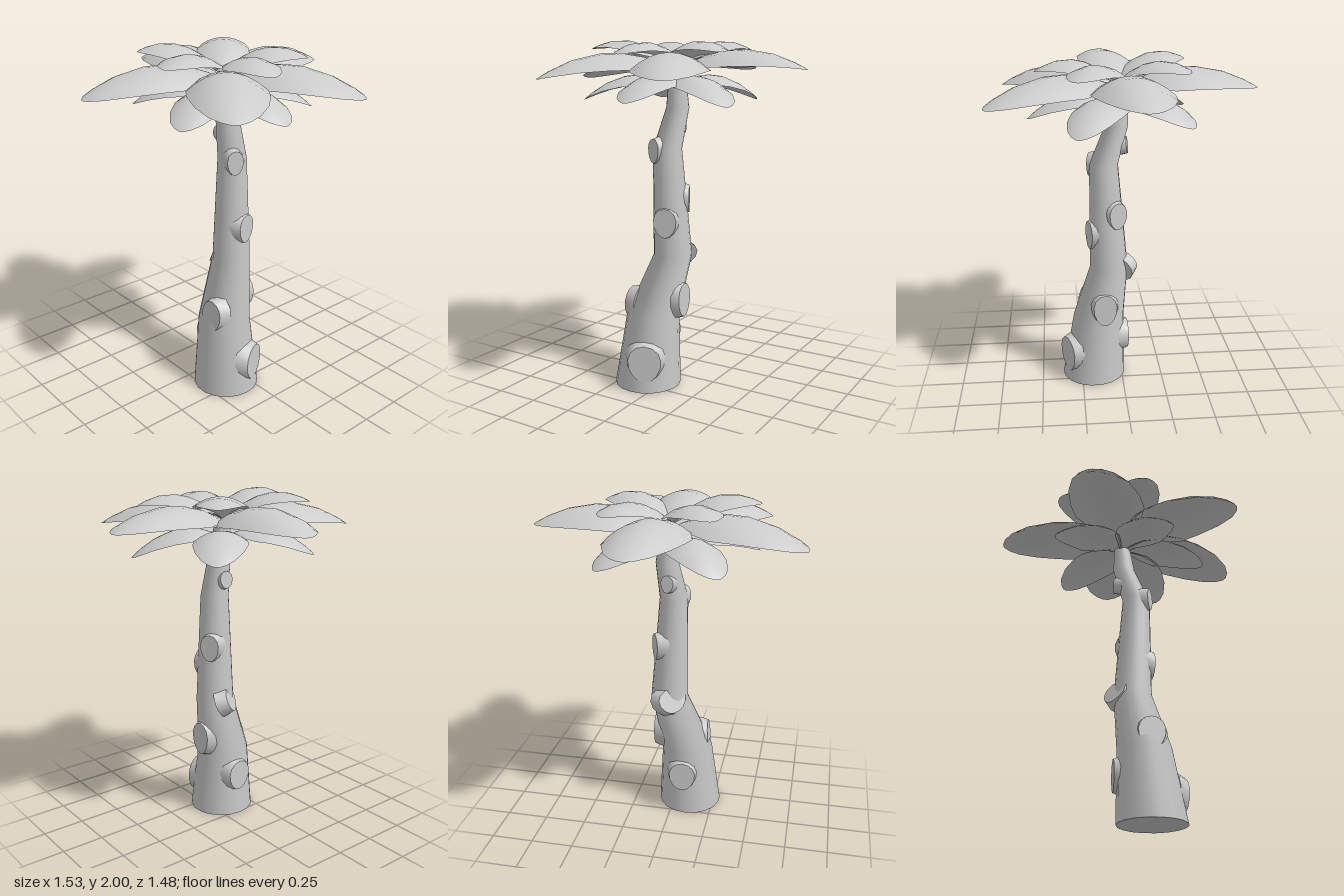
import * as THREE from 'three';

const material = new THREE.MeshStandardMaterial({ color: 0xcccccc });
const leafMaterial = new THREE.MeshStandardMaterial({ color: 0xcccccc, side: THREE.DoubleSide });

// Trunk rings from top to bottom: x, y, z, radius
const RINGS = [
  [0.012, 1.81, 0.02, 0.048],
  [0.024, 1.63, 0.035, 0.066],
  [0, 1.4, 0.108, 0.083],
  [0.02, 0.78, 0.083, 0.112],
  [-0.083, 0.42, 0.14, 0.155],
  [-0.098, 0, 0.175, 0.195],
];

// Cut branch stubs: face centre, facing direction, half width, half height
const KNOTS = [
  [[-0.018, 0.17, 0.34], [0.4, 0, 0.9], 0.097, 0.11],
  [[0.115, 0.52, 0.11], [1, 0, -0.05], 0.07, 0.1],
  [[-0.08, 0.27, -0.035], [-0.08, 0, -1], 0.08, 0.095],
  [[-0.215, 0.48, 0.175], [-1, 0.1, 0.05], 0.075, 0.095],
  [[-0.02, 0.79, -0.025], [-0.6, 0.35, -0.7], 0.09, 0.075],
  [[0.035, 0.98, 0.2], [0.25, 0, 0.95], 0.068, 0.085],
  [[0.1, 1.11, 0.03], [0.85, 0, -0.45], 0.058, 0.08],
  [[-0.045, 1.39, 0.19], [-0.35, 0, 0.9], 0.048, 0.07],
  [[0.015, 1.515, -0.025], [0.2, 0.1, -1], 0.038, 0.05],
];

// Leaf tiers; each leaf is [heading in degrees, length, lift of the tip]
const TIERS = [
  { name: 'lowerLeaf', base: 1.75, mid: 0.06, tip: -0.08, width: 0.15, droop: 0.06,
    leaves: [[130, 0.51, 0], [48, 0.5, 0], [-28, 0.52, -0.02], [-90, 0.51, 0], [-153, 0.53, 0]] },
  { name: 'largeLeaf', base: 1.83, mid: 0.11, tip: -0.02, width: 0.212, droop: 0.095,
    leaves: [[84, 0.765, 0.03], [7, 0.765, 0.03], [-63, 0.8, -0.02], [-126, 0.8, -0.02], [165, 0.79, -0.02]] },
  { name: 'upperLeaf', base: 1.85, mid: 0.138, tip: 0.08, width: 0.15, droop: 0.055,
    leaves: [[127, 0.48, 0.03], [48, 0.46, 0.02], [-31, 0.48, 0], [-97, 0.47, -0.01], [-165, 0.5, 0.03]] },
];

// Half width of a leaf along its length, as a share of the maximum
const OUTLINE = [[0, 0.06], [0.1, 0.36], [0.25, 0.8], [0.4, 1], [0.55, 0.99], [0.75, 0.84], [0.9, 0.57], [0.97, 0.31], [1, 0.08]];

function makeTrunk() {
  const n = RINGS.length - 1;
  const geo = new THREE.CylinderGeometry(1, 1, 1, 18, n);
  const p = geo.attributes.position;
  for (let i = 0; i < p.count; i++) {
    const [x, y, z, r] = RINGS[Math.round((0.5 - p.getY(i)) * n)];
    p.setXYZ(i, x + p.getX(i) * r, y, z + p.getZ(i) * r);
  }
  return new THREE.Mesh(geo, material);
}

function makeKnot([centre, direction, w, h]) {
  const depth = 0.07;
  const geo = new THREE.CylinderGeometry(1, 1.25, depth, 14);
  // Slightly egg-shaped, with the face at the local origin looking along +z
  geo.rotateX(Math.PI / 2).translate(0, 0, -depth / 2);
  const p = geo.attributes.position;
  for (let i = 0; i < p.count; i++) {
    p.setXY(i, p.getX(i) * w * (1 + 0.12 * p.getY(i)), p.getY(i) * h);
  }
  geo.computeVertexNormals();
  const knot = new THREE.Mesh(geo, material);
  knot.position.set(...centre);
  knot.lookAt(new THREE.Vector3(...centre).add(new THREE.Vector3(...direction)));
  return knot;
}

// Arched leaf growing from the crown, its edges bent down
function makeLeaf(tier, [heading, length, lift]) {
  const rows = OUTLINE.length - 1;
  const geo = new THREE.PlaneGeometry(2, 1, 8, rows);
  const p = geo.attributes.position;
  const tip = tier.tip + lift;
  const mid = tier.mid + lift * 0.4;
  for (let i = 0; i < p.count; i++) {
    const u = p.getX(i);
    const [t, share] = OUTLINE[Math.round((p.getY(i) + 0.5) * rows)];
    const rise = (4 * mid - tip) * t + 2 * (tip - 2 * mid) * t * t;
    p.setXYZ(i, length * t, rise - tier.droop * (u * share) ** 2, u * share * tier.width);
  }
  geo.computeVertexNormals();
  const leaf = new THREE.Mesh(geo, leafMaterial);
  leaf.position.set(0, tier.base, 0.02);
  leaf.rotation.y = THREE.MathUtils.degToRad(heading);
  return leaf;
}

export function createModel() {
  const tree = new THREE.Group();
  tree.name = 'palmTree';
  const add = (mesh, name) => {
    mesh.name = name;
    tree.add(mesh);
  };
  add(makeTrunk(), 'trunk');
  KNOTS.forEach((knot, i) => add(makeKnot(knot), `branchStub${i + 1}`));
  for (const tier of TIERS) {
    tier.leaves.forEach((leaf, i) => add(makeLeaf(tier, leaf), `${tier.name}${i + 1}`));
  }
  return tree;
}
